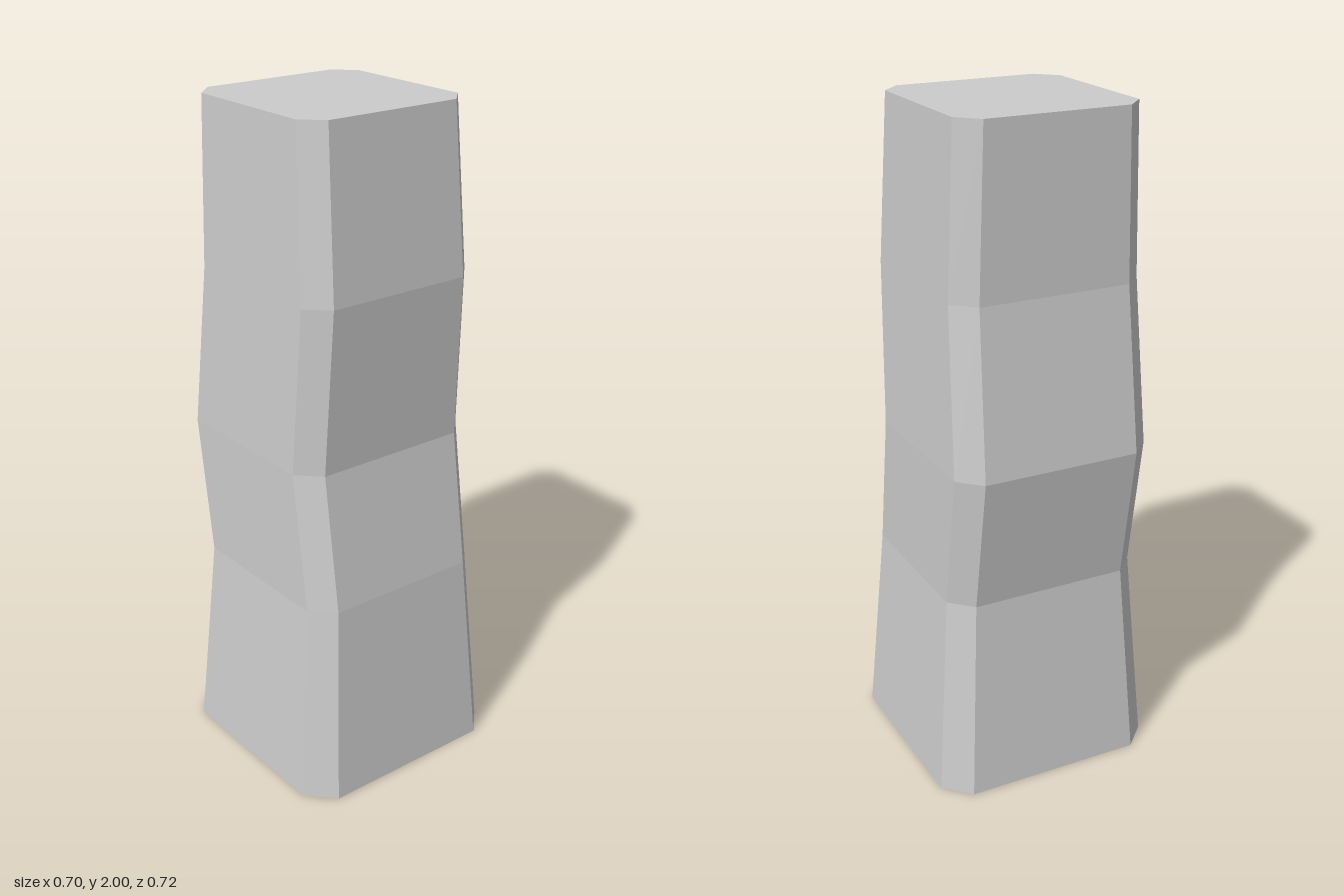
import * as THREE from 'three';

// Each section: height, half width, front z, back z, corner chamfer
const SECTIONS = [
  [0, 0.348, 0.357, -0.337, 0.074],
  [0.61, 0.304, 0.312, -0.293, 0.064],
  [1.02, 0.304, 0.252, -0.358, 0.064],
  [1.51, 0.291, 0.278, -0.305, 0.062],
  [2, 0.275, 0.24, -0.308, 0.059],
];

// Chamfered rectangle, counter-clockwise seen from above
function ring([y, w, f, b, c]) {
  return [
    [-w + c, f], [w - c, f], [w, f - c], [w, b + c],
    [w - c, b], [-w + c, b], [-w, b + c], [-w, f - c],
  ].flatMap(([x, z]) => [x, y, z]);
}

function loft(sections, n = 8) {
  const positions = sections.flatMap(ring);
  const index = [];
  // Side walls
  for (let s = 0; s < sections.length - 1; s++) {
    for (let i = 0; i < n; i++) {
      const a = s * n + i;
      const b = s * n + (i + 1) % n;
      index.push(a, b, b + n, a, b + n, a + n);
    }
  }
  // Bottom and top caps
  const top = (sections.length - 1) * n;
  for (let i = 1; i < n - 1; i++) {
    index.push(0, i + 1, i, top, top + i, top + i + 1);
  }
  const indexed = new THREE.BufferGeometry();
  indexed.setAttribute('position', new THREE.Float32BufferAttribute(positions, 3));
  indexed.setIndex(index);
  const geometry = indexed.toNonIndexed();
  geometry.computeVertexNormals();
  return geometry;
}

export function createModel() {
  const group = new THREE.Group();
  group.name = 'stonePillar';
  const material = new THREE.MeshStandardMaterial({ color: 0xcccccc, flatShading: true });

  // Tapering, weathered column with chamfered corners
  const column = new THREE.Mesh(loft(SECTIONS), material);
  column.name = 'column';
  group.add(column);
  return group;
}
